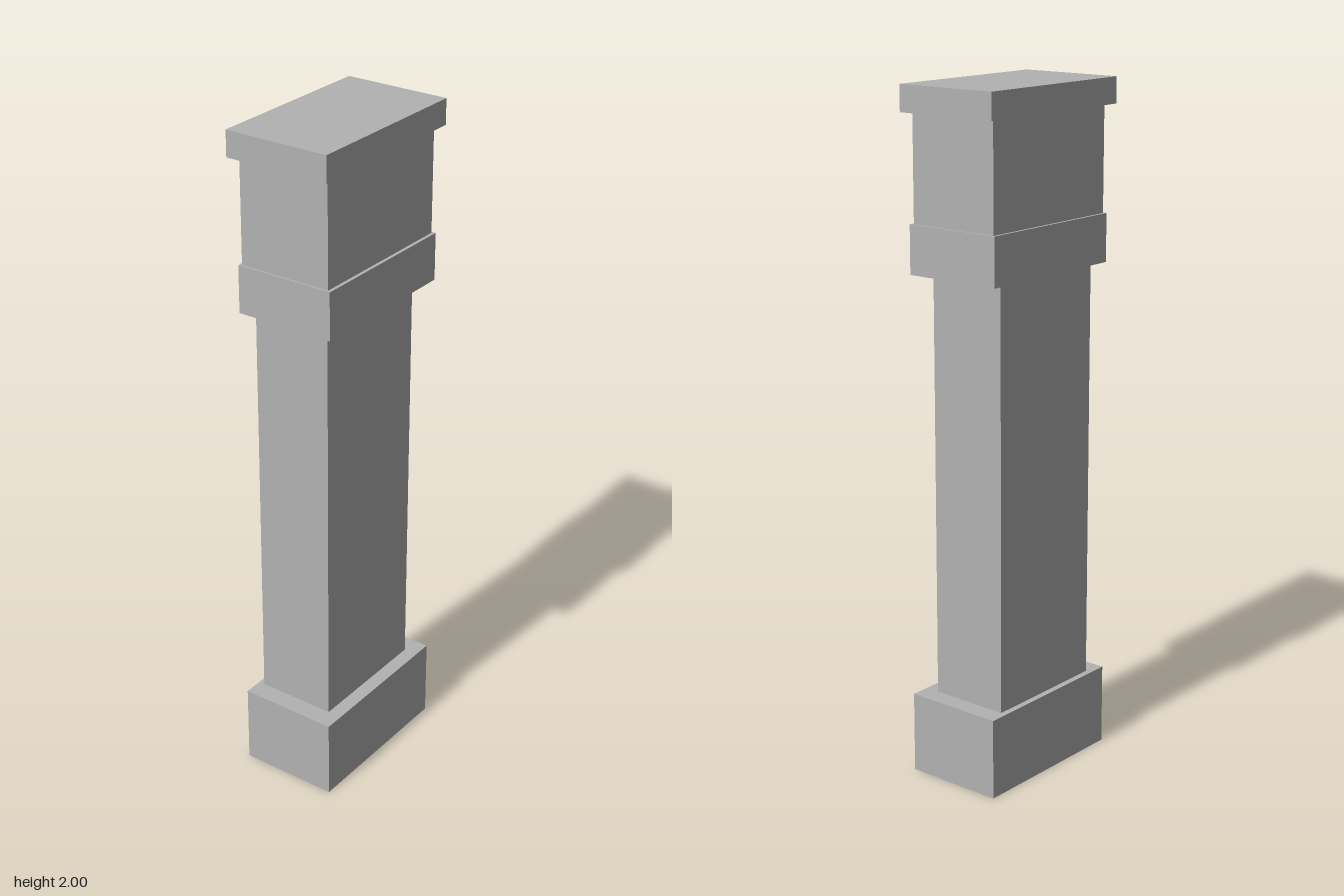
import * as THREE from 'three';

export function createModel() {
  const model = new THREE.Group();
  model.name = 'pillar';
  const stone = new THREE.MeshStandardMaterial({ color: 0xb2b2b2 });
  stone.name = 'grey stone';

  // One squared block from its min and max corners
  const block = (name, [x0, x1], [y0, y1], [z0, z1]) => {
    const mesh = new THREE.Mesh(new THREE.BoxGeometry(x1 - x0, y1 - y0, z1 - z0), stone);
    mesh.position.set((x0 + x1) / 2, (y0 + y1) / 2, (z0 + z1) / 2);
    mesh.name = name;
    model.add(mesh);
  };

  // Stacked from the ground up; the shaft sits slightly towards the back
  block('base', [-0.258, 0.255], [0, 0.24], [-0.148, 0.153]);
  block('shaft', [-0.2, 0.198], [0.24, 1.48], [-0.13, 0.11]);
  block('collar', [-0.248, 0.245], [1.48, 1.62], [-0.148, 0.153]);
  block('upperBlock', [-0.242, 0.239], [1.62, 1.925], [-0.14, 0.143]);
  block('cap', [-0.27, 0.27], [1.925, 2], [-0.16, 0.16]);

  return model;
}
